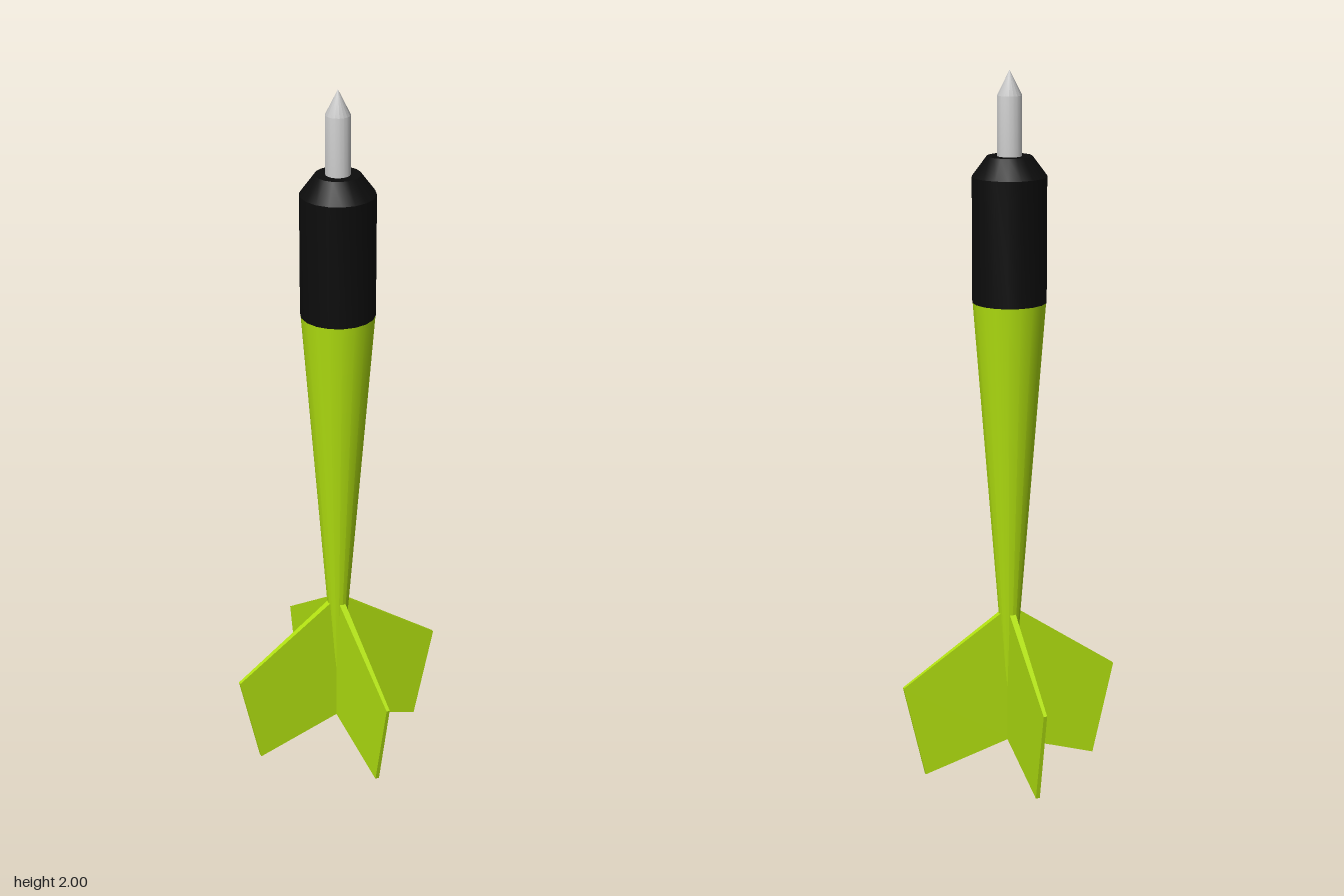
import * as THREE from 'three';
import { toCreasedNormals } from 'three/addons/utils/BufferGeometryUtils.js';

const SIDES = 18;
const lime = new THREE.MeshStandardMaterial({ color: 0xb0df10 });
const black = new THREE.MeshStandardMaterial({ color: 0x0c0c0c });
const grey = new THREE.MeshStandardMaterial({ color: 0xcccccc });

// Turned part from [radius, y] pairs listed bottom to top
function turned(name, profile, material) {
  const points = profile.map(([r, y]) => new THREE.Vector2(r, y));
  const geometry = toCreasedNormals(new THREE.LatheGeometry(points, SIDES), 0.5);
  const mesh = new THREE.Mesh(geometry, material);
  mesh.name = name;
  return mesh;
}

// Fin lying in the xy plane, thinning from root to outer edge
function finGeometry() {
  const outline = [[0, 0.08], [0.255, 0.0], [0.317, 0.272], [0.025, 0.47], [0, 0.47]];
  const shape = new THREE.Shape(outline.map(([x, y]) => new THREE.Vector2(x, y)));
  const geometry = new THREE.ExtrudeGeometry(shape, { depth: 2, bevelEnabled: false });
  geometry.translate(0, 0, -1);
  const p = geometry.attributes.position;
  for (let i = 0; i < p.count; i++) {
    p.setZ(i, p.getZ(i) * (0.0095 - 0.0145 * p.getX(i)));
  }
  geometry.computeVertexNormals();
  return geometry;
}

export function createModel() {
  const model = new THREE.Group();
  model.name = 'dart';

  // Tapered shaft, collar with chamfered shoulder, pointed metal tip
  model.add(turned('shaft', [[0, 0.065], [0.102, 1.37], [0, 1.37]], lime));
  model.add(turned('collar', [[0, 1.37], [0.103, 1.37], [0.103, 1.715], [0.062, 1.77], [0, 1.77]], black));
  model.add(turned('tip', [[0, 1.75], [0.034, 1.75], [0.034, 1.932], [0, 2]], grey));

  // Four fins around the tail
  const geometry = finGeometry();
  for (let i = 0; i < 4; i++) {
    const fin = new THREE.Mesh(geometry, lime);
    fin.name = `fin${i + 1}`;
    fin.rotation.y = i * Math.PI / 2;
    model.add(fin);
  }
  return model;
}
